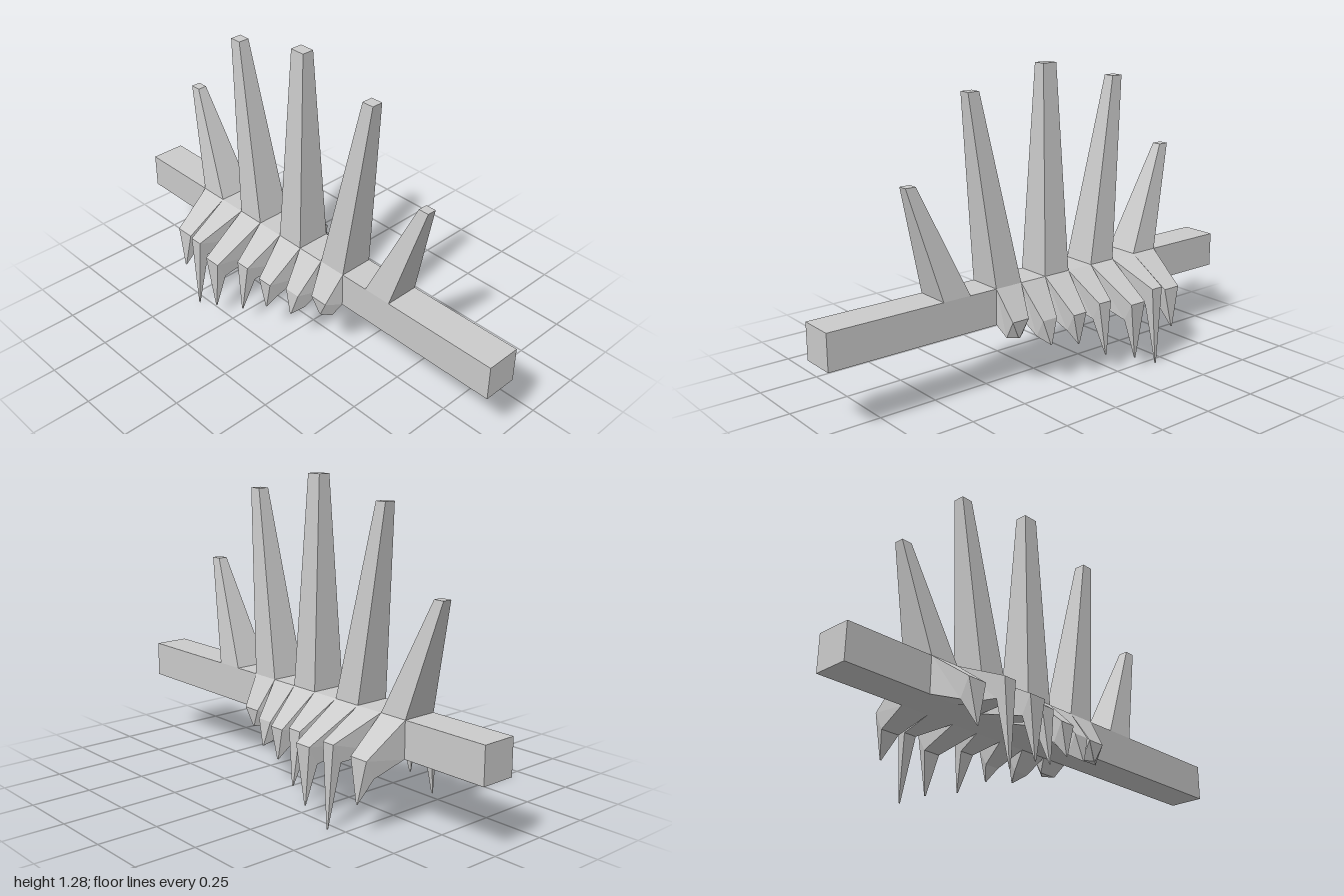
import * as THREE from 'three';

const material = new THREE.MeshStandardMaterial({ color: 0xcccccc, flatShading: true, side: THREE.DoubleSide });

// Closed solid lofted through four-cornered sections, with a cap on the last one
function loft(sections) {
  const pos = [];
  const tri = (a, b, c) => pos.push(...a, ...b, ...c);
  for (let s = 0; s < sections.length - 1; s++) {
    const a = sections[s], b = sections[s + 1];
    for (let i = 0; i < 4; i++) {
      const j = (i + 1) % 4;
      tri(a[i], a[j], b[j]);
      tri(a[i], b[j], b[i]);
    }
  }
  const end = sections[sections.length - 1];
  tri(end[0], end[1], end[2]);
  tri(end[0], end[2], end[3]);
  const geometry = new THREE.BufferGeometry();
  geometry.setAttribute('position', new THREE.Float32BufferAttribute(pos, 3));
  geometry.computeVertexNormals();
  return geometry;
}

// Horizontal rectangle, counterclockwise from above
const level = (y, w, z0, z1) => [[-w, y, z1], [w, y, z1], [w, y, z0], [-w, y, z0]];

// Upright section: lower edge (x0, y0), upper edge (x1, y1), counterclockwise from +x
const upright = (x0, y0, x1, y1, z, h) =>
  [[x0, y0, z + h], [x0, y0, z - h], [x1, y1, z - h], [x1, y1, z + h]];

// Mirror a section in x, keeping the faces outward
const mirror = (section) => section.map(([x, y, z]) => [-x, y, z]).reverse();

export function createModel() {
  const group = new THREE.Group();
  const add = (name, geometry) => {
    const mesh = new THREE.Mesh(geometry, material);
    mesh.name = name;
    group.add(mesh);
    return mesh;
  };

  // Long square beam
  add('spineBeam', new THREE.BoxGeometry(0.15, 0.15, 2)).position.y = 0.35;

  // Tall spikes fanning out: base z, top z range, height, top half width
  const spikes = [
    [0.4375, 0.575, 0.62, 0.875, 0.02],
    [0.1875, 0.283, 0.335, 1.2, 0.024],
    [-0.0625, -0.095, -0.029, 1.28, 0.026],
    [-0.3125, -0.455, -0.405, 1.2, 0.024],
    [-0.5625, -0.745, -0.7, 0.875, 0.02],
  ];
  spikes.forEach(([z, z0, z1, y, w], i) => add(`backSpike${i + 1}`, loft([
    level(0.425, 0.075, z - 0.0625, z + 0.0625),
    level(y, w, z0, z1),
  ])));

  // Bent ribs: elbow x, elbow y, elbow half depth, tip x, tip y
  const ribs = [
    [0.15, 0.3, 0.04, 0.14, 0.225],
    [0.18, 0.285, 0.036, 0.19, 0.18],
    [0.22, 0.29, 0.034, 0.215, 0.16],
    [0.233, 0.315, 0.032, 0.243, 0.09],
    [0.298, 0.3, 0.038, 0.287, 0.058],
    [0.283, 0.335, 0.028, 0.286, 0],
    [0.248, 0.3, 0.041, 0.255, 0.128],
  ];
  ribs.forEach(([x, y, h, tx, ty], i) => {
    const z = 0.1875 - i * 0.125;
    const sections = [
      upright(0.075, 0.275, 0.075, 0.425, z, 0.0625),
      upright(x - 0.04, y - 0.075, x, y, z, h),
      upright(tx - 0.002, ty, tx, ty, z, 0.003),
    ];
    add(`leftRib${i + 1}`, loft(sections));
    add(`rightRib${i + 1}`, loft(sections.map(mirror)));
  });
  return group;
}
